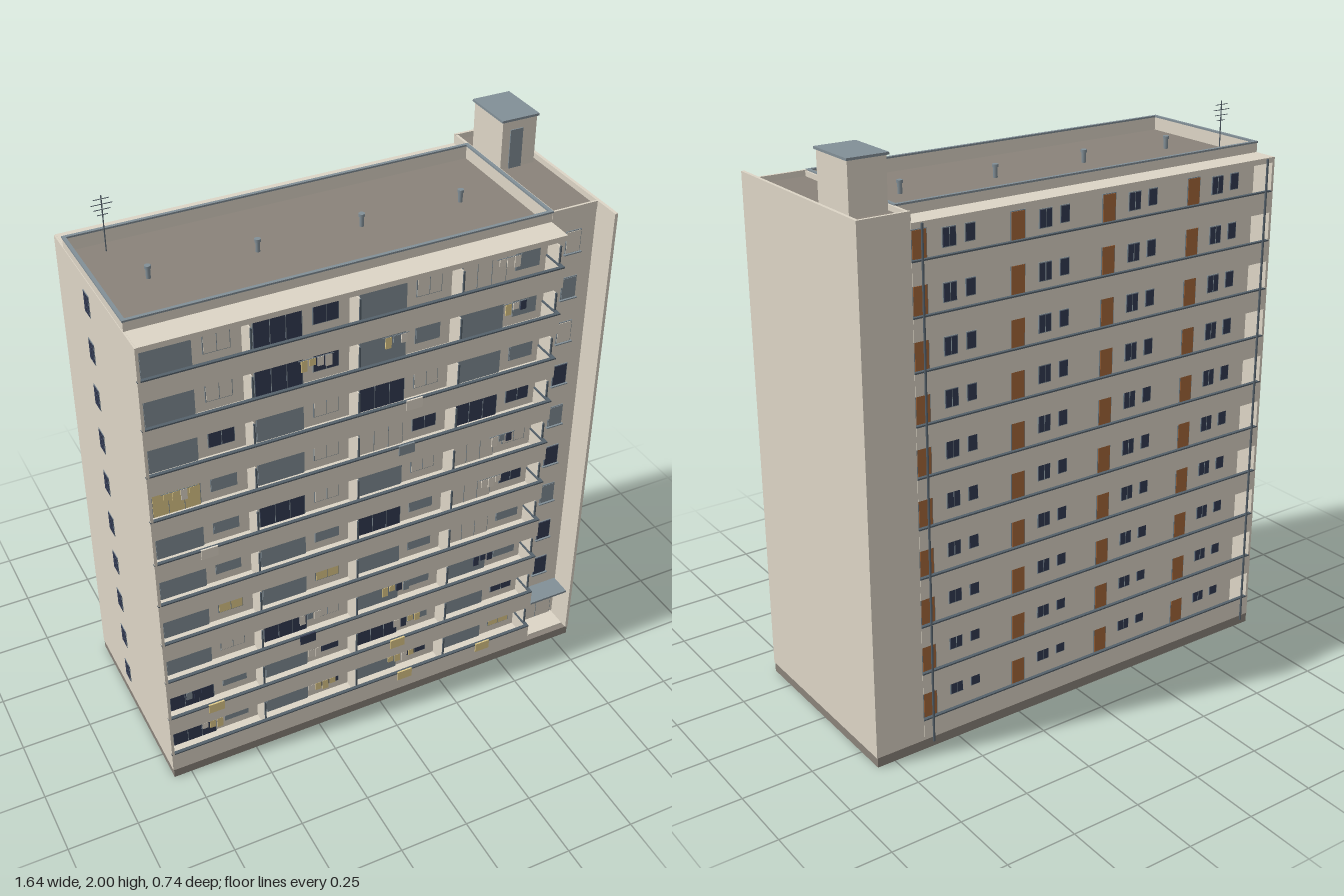
import * as THREE from 'three';

const mat = (name, color) => {
  const m = new THREE.MeshStandardMaterial({ color });
  m.name = name;
  return m;
};

export function createModel() {
  const root = new THREE.Group();
  root.name = 'apartmentBlock';
  const M = {
    wall: mat('concrete beige', 0xddd5c6),
    roof: mat('roof taupe', 0x8a837a),
    slate: mat('slate blue', 0x828f97),
    navy: mat('dark glass', 0x333b53),
    yellow: mat('warm yellow', 0xe2cc8b),
    brown: mat('door brown', 0xa5673a),
    rail: mat('rail grey', 0x55616b),
    cream: mat('pale cream', 0xe2dacb),
  };
  const shade = { s: M.slate, n: M.navy, y: M.yellow, b: M.wall, c: M.cream };

  let target = root;
  const group = (name, fn) => {
    const g = new THREE.Group(), previous = target;
    g.name = name;
    target.add(g);
    target = g;
    fn();
    target = previous;
  };
  // Box given by its limits on each axis
  const box = (name, m, x0, x1, y0, y1, z0, z1) => {
    const mesh = new THREE.Mesh(new THREE.BoxGeometry(x1 - x0, y1 - y0, z1 - z0), m);
    mesh.position.set((x0 + x1) / 2, (y0 + y1) / 2, (z0 + z1) / 2);
    mesh.name = name;
    target.add(mesh);
  };
  const rod = (name, m, r, x, y0, y1, z, sides = 8) => {
    const mesh = new THREE.Mesh(new THREE.CylinderGeometry(r, r, y1 - y0, sides), m);
    mesh.position.set(x, (y0 + y1) / 2, z);
    mesh.name = name;
    target.add(mesh);
  };
  // Framed window or door lying on a wall that faces s * z
  const opening = (name, pane, x0, x1, y0, y1, z, s, mullions = 0) => {
    const plate = (n, m, a, b, c, d, t) =>
      box(n, m, a, b, c, d, Math.min(z, z + s * t), Math.max(z, z + s * t));
    plate(name + 'Frame', M.slate, x0 - 0.003, x1 + 0.003, y0 - 0.003, y1 + 0.003, 0.003);
    plate(name, pane, x0, x1, y0, y1, 0.005);
    for (let i = 1; i <= mullions; i++) {
      const x = x0 + (x1 - x0) * i / (mullions + 1);
      plate(name + 'Mullion', M.slate, x - 0.001, x + 0.001, y0, y1, 0.006);
    }
  };

  const X0 = -0.81, X1 = 0.635, W = 0.27, EDGE = 0.365, BACK = -0.357, PITCH = 0.175, FLAT = 0.3625;
  const railY = f => 0.11 + PITCH * f;

  // Main volumes
  box('base', M.roof, -0.814, 0.815, 0, 0.035, BACK, 0.367);
  box('mainBlock', M.wall, X0, X1, 0.035, 1.785, -W, W);
  box('stairTower', M.wall, X1, 0.808, 0.035, 1.815, -0.355, W);
  box('leftEndWall', M.wall, -0.816, -0.806, 0.035, 1.803, BACK, 0.366);
  box('rightEndWall', M.wall, 0.806, 0.817, 0.035, 1.84, BACK, 0.37);

  // Roof deck, parapet and vents
  group('roof', () => {
    box('roofDeck', M.roof, X0, X1, 1.785, 1.79, -W, W);
    for (const s of [-1, 1]) {
      const z = s * 0.266;
      box('parapet', M.wall, X0, X1, 1.785, 1.836, z - 0.004, z + 0.004);
      box('parapetCap', M.slate, X0, X1, 1.836, 1.842, z - 0.006, z + 0.006);
    }
    box('frontCanopy', M.wall, X0, X1, 1.785, 1.804, W, EDGE + 0.001);
    box('backCanopy', M.wall, X0, X1, 1.785, 1.804, BACK - 0.001, -W);
    for (const x of [-0.814, X1 - 0.006]) {
      box('parapetEnd', M.wall, x, x + 0.008, 1.785, 1.836, -W, W);
      box('parapetEndCap', M.slate, x - 0.002, x + 0.01, 1.836, 1.842, -0.272, 0.272);
    }
    for (let i = 0; i < 4; i++) {
      rod('ventPipe', M.slate, 0.008, -0.635 + i * 0.3633, 1.79, 1.832, 0);
      rod('ventCap', M.slate, 0.011, -0.635 + i * 0.3633, 1.825, 1.835, 0);
    }
    box('towerDeck', M.roof, 0.645, 0.806, 1.815, 1.82, -0.347, W - 0.006);
    box('towerParapetBack', M.wall, X1, 0.815, 1.81, 1.84, BACK, -0.347);
    box('towerParapetFront', M.wall, X1, 0.808, 1.81, 1.84, W - 0.006, W + 0.002);
    box('towerParapetSide', M.wall, X1, 0.645, 1.81, 1.838, -0.355, W);
  });

  // Lift housing and antenna
  group('liftHousing', () => {
    box('housingWalls', M.wall, 0.657, 0.788, 1.815, 1.992, -0.267, -0.085);
    box('housingRoof', M.slate, 0.651, 0.794, 1.992, 2, -0.274, -0.08);
    box('housingDoor', M.slate, 0.687, 0.735, 1.82, 1.96, -0.085, -0.081);
  });
  group('antenna', () => {
    rod('mast', M.rail, 0.002, -0.695, 1.785, 1.985, -0.21, 6);
    [0.026, 0.035, 0.028, 0.018].forEach((w, i) => {
      const y = 1.972 - i * 0.018;
      box('crossbar', M.rail, -0.695 - w, -0.695 + w, y - 0.001, y + 0.001, -0.212, -0.21);
    });
  });

  // Panes from the ground floor up: a wide and a narrow one for each flat
  const panes = ['nssnsnsy', 'nssnnssn', 'sbnbssss', 'sysyssbs', 'ssssnsbn',
    'ssnbsbbb', 'yssbbnnn', 'snsbnbss', 'sbnnssss', 'sbnnsbbs'];

  for (let f = 0; f < 10; f++) {
    const R = railY(f), floor = R - 0.06;

    group('balconyFloor', () => {
      box('slab', M.wall, X0, X1, R - 0.075, floor, W, EDGE);
      box('balconyWall', M.wall, X0, X1, floor, R - 0.002, EDGE - 0.01, EDGE);
      box('balconyEndWall', M.wall, X1 - 0.01, X1, floor, R - 0.002, W, EDGE - 0.01);
      box('handrail', M.rail, -0.816, X1 + 0.001, R - 0.002, R + 0.003, EDGE - 0.011, EDGE + 0.001);
      box('endHandrail', M.rail, X1 - 0.011, X1 + 0.001, R - 0.002, R + 0.003, W, EDGE);
      for (let a = 0; a < 4; a++) {
        const x = X0 + FLAT * a;
        const wide = panes[f][a * 2], narrow = panes[f][a * 2 + 1];
        opening('balconyDoor', shade[wide], x + 0.035, x + 0.195, floor, R + 0.07, W, 1,
          wide === 's' ? 0 : 2);
        box('shutterBox', M.slate, x + 0.025, x + 0.2, R + 0.072, R + 0.083, W, W + 0.02);
        opening('balconyWindow', shade[narrow], x + 0.235, x + 0.32, R - 0.025, R + 0.067, W, 1,
          narrow === 's' ? 0 : 1);
        box('ceilingTrack', M.slate, x + 0.06, x + 0.17, R + 0.095, R + 0.098, 0.33, 0.334);
        const px = x + FLAT - (a === 3 ? 0.008 : 0);
        box('divider', M.wall, px - 0.0025, px + 0.0025, floor, R + 0.065, W, 0.335);
        box('dividerPost', M.rail, px - 0.0025, px + 0.0025, floor, R + 0.067, 0.335, 0.341);
      }
    });

    group('galleryFloor', () => {
      box('gallerySlab', M.wall, X0, X1, R - 0.075, floor, BACK, -W);
      box('galleryWall', M.wall, X0, X1, floor, R - 0.002, BACK, BACK + 0.01);
      box('galleryRail', M.rail, X0, X1, R - 0.002, R + 0.003, BACK - 0.001, BACK + 0.011);
      for (let a = 0; a < 4; a++) {
        const x = X0 + FLAT * a;
        opening('entranceDoor', M.brown, x + 0.255, x + 0.305, floor, R + 0.068, -W, -1);
        opening('galleryWindow', M.navy, x + 0.15, x + 0.195, R, R + 0.058, -W, -1, 1);
        opening('galleryWindow', M.navy, x + 0.08, x + 0.112, R + 0.005, R + 0.058, -W, -1);
        rod('ceilingLamp', M.rail, 0.008, x + 0.22, R + 0.093, R + 0.1, -0.315);
      }
    });

    // End wall window
    group('leftWallWindow', () => {
      box('sideFrame', M.slate, -0.8175, -0.816, R - 0.012, R + 0.066, -0.091, -0.039);
      for (const z of [-0.087, -0.063])
        box('sidePane', M.navy, -0.8185, -0.816, R - 0.008, R + 0.062, z, z + 0.02);
    });

    // Stair window
    if (f > 0) group('stairWindow', () => {
      opening('stairPane', shade['-nnsnsnbsb'[f]], 0.699, 0.751, R - 0.012, R + 0.065, W, 1);
      box('stairSill', M.slate, 0.692, 0.758, R - 0.018, R - 0.014, W, W + 0.01);
    });
  }

  // Street entrance
  group('entrance', () => {
    opening('entranceDoors', M.wall, 0.66, 0.79, 0.04, 0.19, W, 1, 1);
    box('entranceCanopy', M.slate, 0.646, 0.803, 0.204, 0.212, W, 0.352);
    box('entranceStep', M.wall, 0.65, 0.8, 0.035, 0.045, W, 0.35);
    box('intercom', M.rail, 0.793, 0.801, 0.12, 0.145, W, W + 0.008);
  });

  // Rainwater pipes on the gallery side
  for (const x of [-0.78, 0.6]) rod('downpipe', M.rail, 0.004, x, 0.02, 1.8, -0.361);

  // Washing lines: floor, left end, colour of each garment
  const washing = [[9, 0.4, 'ccc'], [8, -0.29, 'yycc'], [8, 0, 'ysc'], [8, 0.435, 'ycn'],
    [6, -0.76, 'yycy'], [5, 0.42, 'csn'], [4, 0.39, 'ccc'], [2, -0.31, 'csc'], [2, 0.01, 'yyns'],
    [2, 0.38, 'nnn'], [1, -0.74, 'snn'], [1, -0.28, 'ccn'], [1, 0.06, 'cnyy'],
    [0, -0.69, 'cyy'], [0, -0.28, 'cyyy'], [0, 0.04, 'yycy']];
  for (const [f, x, items] of washing) group('washingLine', () => {
    const y = railY(f) + 0.08;
    box('line', M.slate, x - 0.01, x + items.length * 0.028, y, y + 0.002, 0.345, 0.347);
    [...items].forEach((c, i) => {
      const gx = x + i * 0.028, h = 0.025 + ((i * 7 + f) % 3) * 0.008;
      box('garment', shade[c], gx, gx + 0.021, y - h, y, 0.344, 0.348);
    });
  });

  // Cloths hung over the balcony walls: floor, centre, colour
  const cloths = [[0, 0.1, 'y'], [0, 0.43, 'y'], [1, -0.64, 'y'], [1, 0.065, 'y'], [6, 0.077, 's'],
    [2, -0.29, 'n'], [7, 0.1, 'c'], [5, -0.63, 'c']];
  for (const [f, x, c] of cloths)
    box('hangingCloth', shade[c], x - 0.029, x + 0.029, railY(f) - 0.032, railY(f) + 0.006,
      EDGE - 0.002, EDGE + 0.004);

  return root;
}
